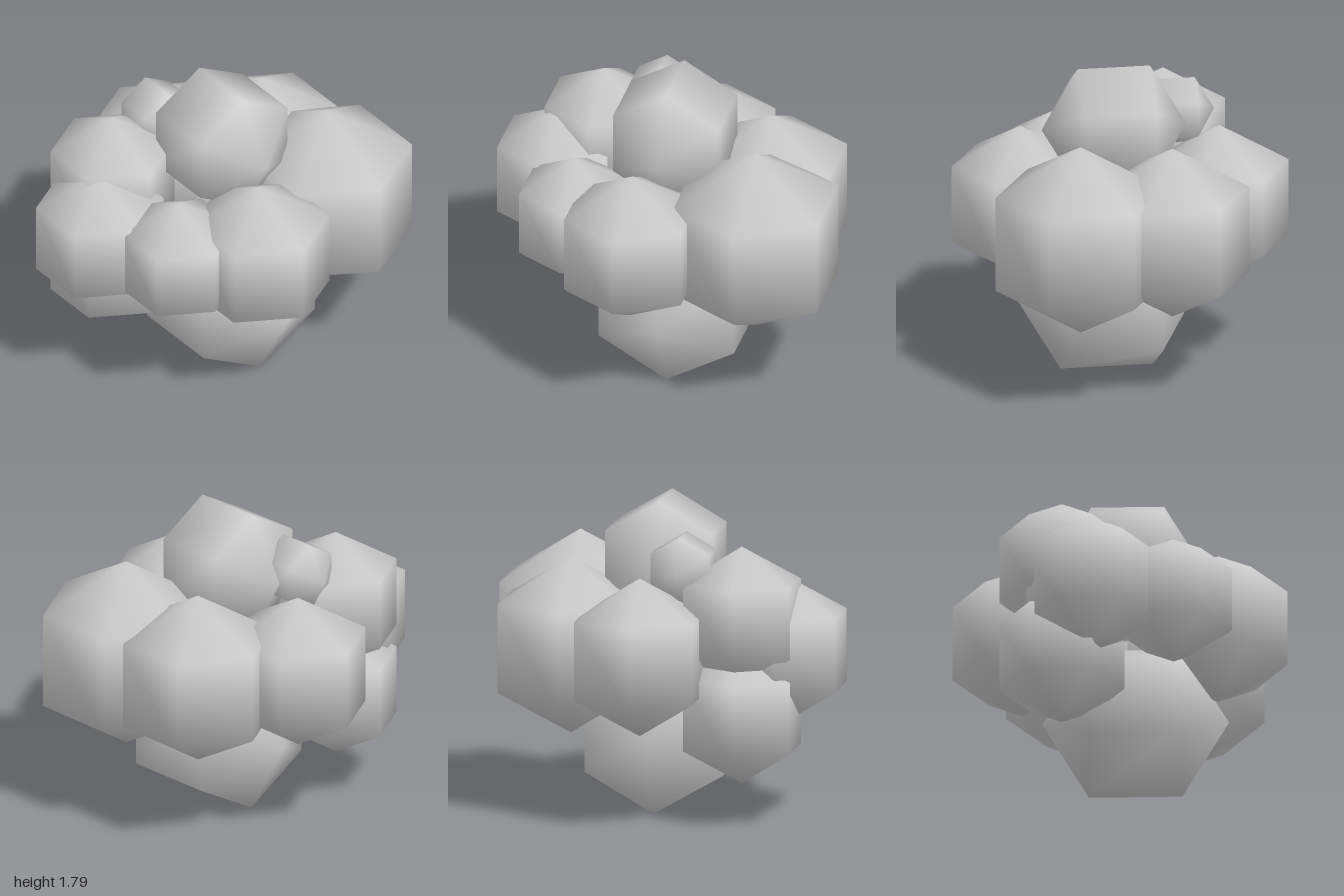
import * as THREE from 'three';

// Each lobe: name, centre x, y, z, radius, axis its poles lie on
const LOBES = [
  ['leftLobe', 0.58, 0.97, 0.31, 0.56, 'y'],
  ['frontLobe', -0.08, 0.97, 0.555, 0.453, 'y'],
  ['frontRightLobe', -0.47, 0.97, 0.315, 0.38, 'y'],
  ['rightLobe', -0.685, 0.97, -0.145, 0.42, 'y'],
  ['backLobe', 0.075, 0.97, -0.558, 0.453, 'y'],
  ['backLeftLobe', 0.535, 0.967, -0.221, 0.507, 'y'],
  ['upperRightLobe', -0.465, 1.173, -0.315, 0.407, 'y'],
  ['lowerRightLobe', -0.465, 0.63, -0.315, 0.407, 'y'],
  ['topLobe', 0.04, 1.435, 0.04, 0.412, 'z'],
  ['smallTopLobe', -0.133, 1.447, -0.335, 0.223, 'z'],
  ['bottomLobe', 0.07, 0.457, 0.085, 0.527, 'z'],
];

// Six-sided, three-band ball with smooth normals and a ridge facing front
function lobeGeometry(radius, poleAxis) {
  const geometry = new THREE.SphereGeometry(radius, 6, 3);
  geometry.rotateY(Math.PI / 2);
  if (poleAxis === 'z') geometry.rotateX(Math.PI / 2);
  return geometry;
}

export function createModel() {
  const group = new THREE.Group();
  group.name = 'lobedClump';
  const material = new THREE.MeshStandardMaterial({ color: 0xcccccc });

  for (const [name, x, y, z, radius, poleAxis] of LOBES) {
    const lobe = new THREE.Mesh(lobeGeometry(radius, poleAxis), material);
    lobe.name = name;
    lobe.position.set(x, y, z);
    group.add(lobe);
  }
  return group;
}
